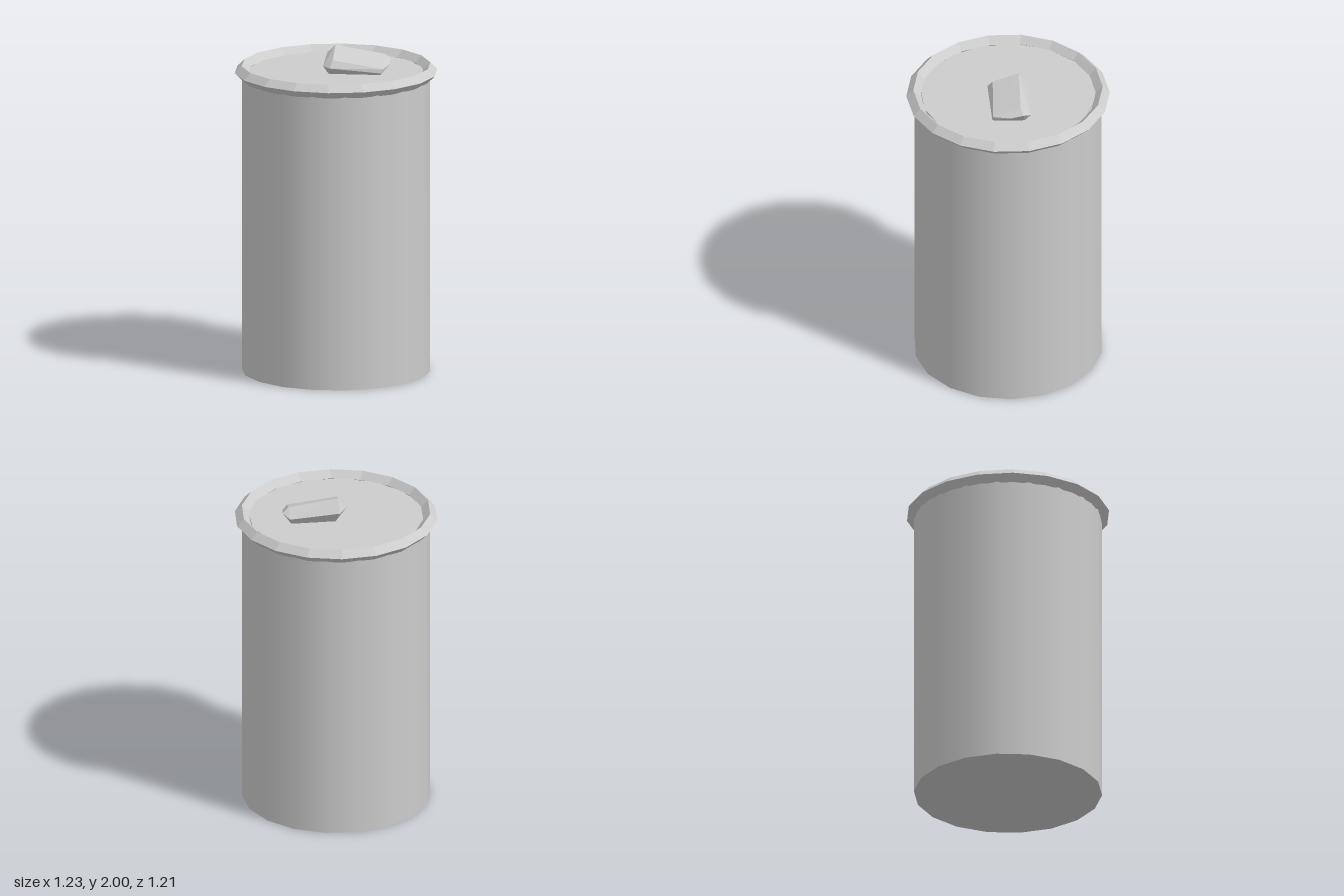
import * as THREE from 'three';
import { ConvexGeometry } from 'three/addons/geometries/ConvexGeometry.js';

export function createModel() {
  const model = new THREE.Group();
  model.name = 'liddedCan';
  const grey = new THREE.MeshStandardMaterial({ color: 0xcccccc });
  grey.name = 'grey metal';

  const add = (name, geometry, y = 0) => {
    const mesh = new THREE.Mesh(geometry, grey);
    mesh.name = name;
    mesh.position.y = y;
    model.add(mesh);
  };
  const faceted = (geometry) => {
    const flat = geometry.toNonIndexed();
    flat.computeVertexNormals();
    return flat;
  };

  // Smooth-sided can standing on the ground
  add('canBody', new THREE.CylinderGeometry(0.57, 0.57, 1.84, 18), 0.92);

  // Faceted diamond-section rim around the top
  const rim = new THREE.TorusGeometry(0.573, 0.0425, 4, 18);
  rim.rotateX(Math.PI / 2);
  add('rim', faceted(rim), 1.8525);

  // Flat lid set inside the rim
  add('lid', faceted(new THREE.CylinderGeometry(0.53, 0.53, 0.02, 16)), 1.844);

  // Tilted, bevelled block used as the handle, partly sunk in the lid
  const corners = [
    // sloping top face
    [-0.04, 2.0, -0.053], [0.22, 1.95, -0.204], [0.303, 1.89, -0.06], [0.036, 1.94, 0.086],
    // bevelled ends and sides
    [-0.095, 1.95, -0.046], [-0.075, 1.925, -0.1], [-0.023, 1.9, 0.105], [0.036, 1.895, 0.122],
    [0.185, 1.895, -0.253], [0.243, 1.92, -0.237], [0.28, 1.9, -0.168], [0.3, 1.865, -0.052],
    // sunken underside
    [-0.03, 1.85, -0.07], [0.01, 1.84, 0.08], [0.19, 1.84, -0.21], [0.27, 1.84, -0.06],
  ].map((p) => new THREE.Vector3(...p));
  add('handle', new ConvexGeometry(corners));

  return model;
}
